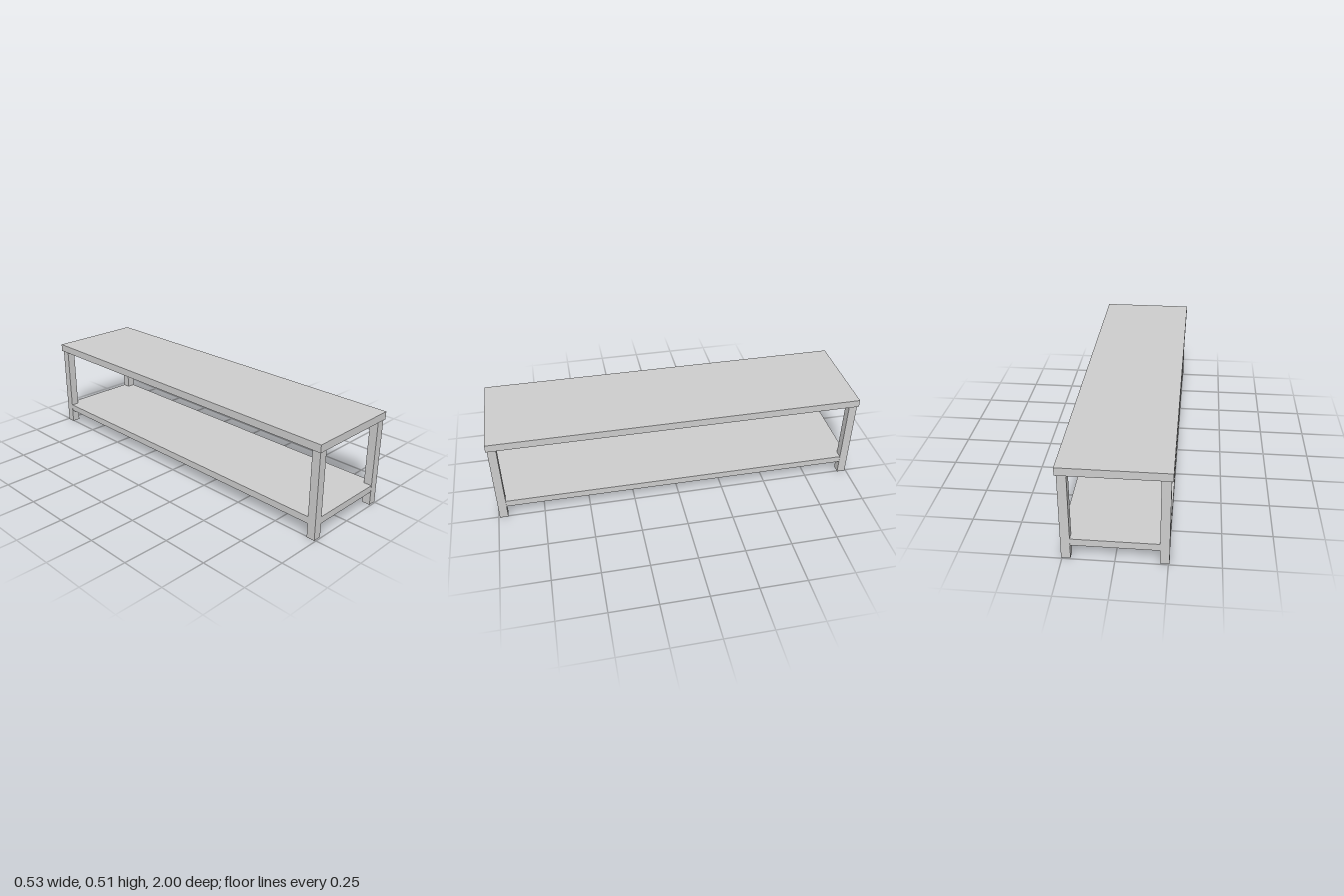
import * as THREE from 'three';

export function createModel() {
  const model = new THREE.Group();
  const material = new THREE.MeshStandardMaterial({ color: 0xcccccc, flatShading: true });

  // Box given by its centre x/z, bottom and top heights, width and depth
  function addBox(name, x, z, bottom, top, width, depth) {
    const mesh = new THREE.Mesh(new THREE.BoxGeometry(width, top - bottom, depth), material);
    mesh.name = name;
    mesh.position.set(x, (bottom + top) / 2, z);
    model.add(mesh);
  }

  const legSize = 0.045, legX = 0.2325, legZ = 0.971, legTop = 0.468;

  // Overhanging top board
  addBox('tableTop', 0, 0, legTop, 0.509, 0.527, 2);

  // Lower shelf, level with the outer leg faces (a hair inside them)
  addBox('lowerShelf', 0, 0, 0.075, 0.112, 2 * legX + legSize - 0.002, 2 * legZ + legSize - 0.002);

  // Four square legs
  for (const [side, sx] of [['Left', 1], ['Right', -1]]) {
    for (const [end, sz] of [['front', 1], ['back', -1]]) {
      addBox(end + side + 'Leg', sx * legX, sz * legZ, 0, legTop, legSize, legSize);
    }
  }
  return model;
}
